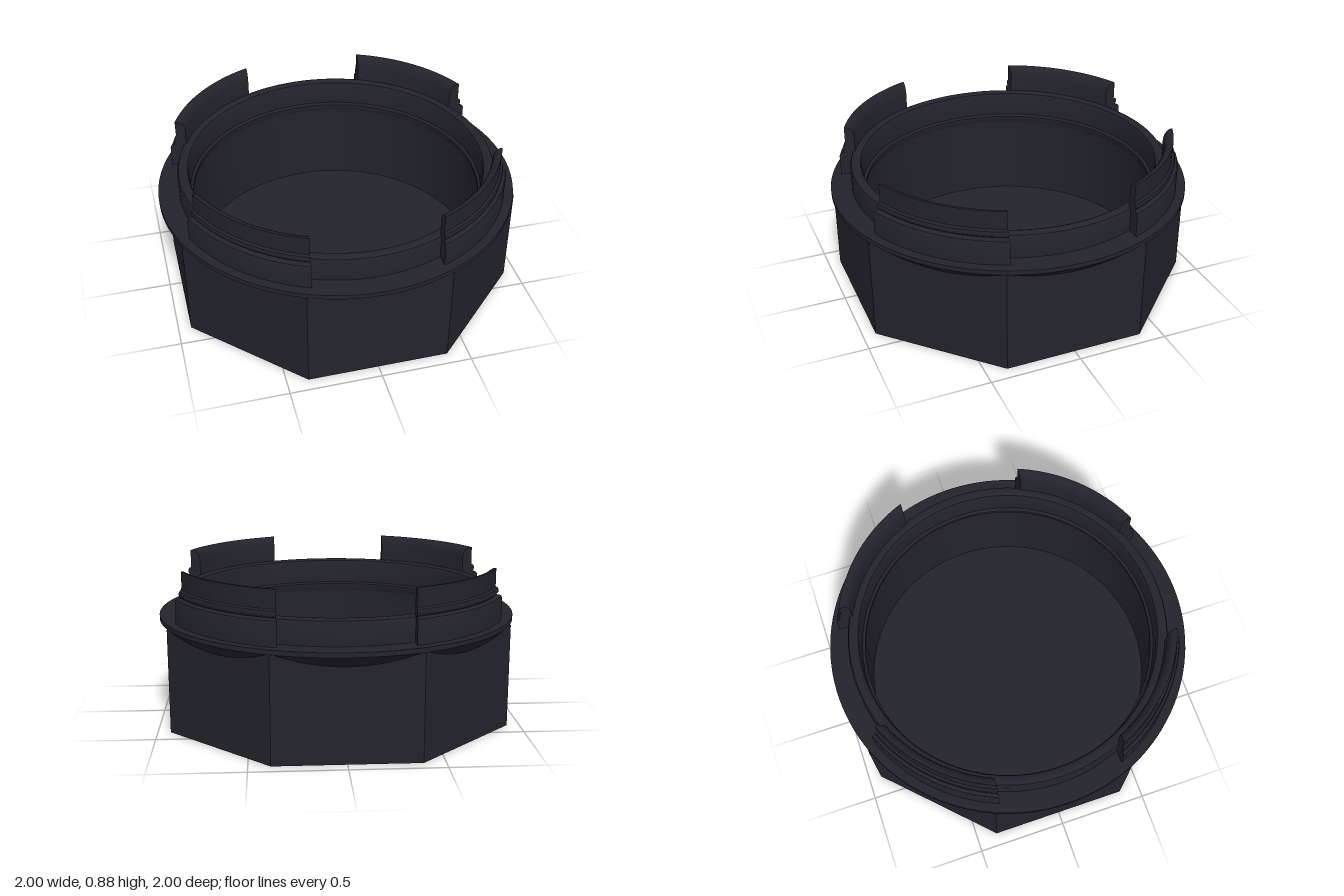
import * as THREE from 'three';
import { toCreasedNormals } from 'three/addons/utils/BufferGeometryUtils.js';

const CREASE = 0.55;

// Curved clip swept through one quadrant, its ends cut parallel to the axes
function clipGeometry(profile, cut, steps) {
  const n = profile.length, pos = [], index = [];
  for (let i = 0; i <= steps; i++) {
    for (const p of profile) {
      const a0 = Math.asin(cut / p.x);
      const a = a0 + (i / steps) * (Math.PI / 2 - 2 * a0);
      pos.push(p.x * Math.sin(a), p.y, p.x * Math.cos(a));
    }
  }
  for (let i = 0; i < steps; i++) {
    for (let j = 0; j < n; j++) {
      const k = (j + 1) % n;
      const a = i * n + j, b = a + n, c = i * n + k, d = c + n;
      index.push(a, b, c, b, d, c);
    }
  }
  const end = steps * n;
  for (const [a, b, c] of THREE.ShapeUtils.triangulateShape(profile, [])) {
    index.push(a, b, c, end + a, end + c, end + b);
  }
  const g = new THREE.BufferGeometry();
  g.setAttribute('position', new THREE.Float32BufferAttribute(pos, 3));
  g.setIndex(index);
  return toCreasedNormals(g, CREASE);
}

const points = (list) => list.map(([r, y]) => new THREE.Vector2(r, y));

export function createModel() {
  const group = new THREE.Group();
  const plastic = new THREE.MeshStandardMaterial({ color: 0x23232d });
  plastic.name = 'dark plastic';
  const add = (name, geometry) => {
    const mesh = new THREE.Mesh(geometry, plastic);
    mesh.name = name;
    group.add(mesh);
    return mesh;
  };

  // Octagonal body with a round bore
  const corner = 0.93 / Math.cos(Math.PI / 8);
  const octagon = new THREE.Shape();
  for (let i = 0; i < 8; i++) {
    const a = (i + 0.5) * Math.PI / 4;
    octagon[i ? 'lineTo' : 'moveTo'](corner * Math.cos(a), corner * Math.sin(a));
  }
  octagon.closePath();
  const bore = new THREE.Path();
  bore.absarc(0, 0, 0.82, 0, Math.PI * 2, true);
  octagon.holes.push(bore);
  const body = new THREE.ExtrudeGeometry(octagon, { depth: 0.575, bevelEnabled: false, curveSegments: 48 });
  body.rotateX(-Math.PI / 2);
  add('octagonalBody', toCreasedNormals(body, CREASE));

  // Floor closing the bore
  const floor = new THREE.CylinderGeometry(0.82, 0.82, 0.06, 96);
  floor.translate(0, 0.03, 0);
  add('floor', floor);

  // Flange with conical underside, raised rim and inner bead
  const rim = points([
    [0.82, 0.51], [0.93, 0.51], [1.0, 0.575], [1.0, 0.6], [0.885, 0.6],
    [0.885, 0.71], [0.878, 0.728], [0.86, 0.737], [0.845, 0.737], [0.827, 0.728],
    [0.82, 0.71], [0.82, 0.59], [0.805, 0.58], [0.805, 0.56], [0.82, 0.535], [0.82, 0.51],
  ]);
  add('flangeAndRim', toCreasedNormals(new THREE.LatheGeometry(rim, 128), CREASE));

  // Four snap clips on the diagonals
  const clip = clipGeometry(points([
    [0.865, 0.59], [0.95, 0.59], [0.95, 0.72], [0.945, 0.732], [0.935, 0.738],
    [0.92, 0.74], [0.929, 0.75], [0.931, 0.763], [0.927, 0.776], [0.915, 0.784],
    [0.915, 0.885], [0.9, 0.884], [0.885, 0.875], [0.872, 0.858], [0.865, 0.83],
  ]), 0.347, 20);
  for (let i = 0; i < 4; i++) {
    add('snapClip' + (i + 1), clip).rotation.y = i * Math.PI / 2;
  }
  return group;
}
